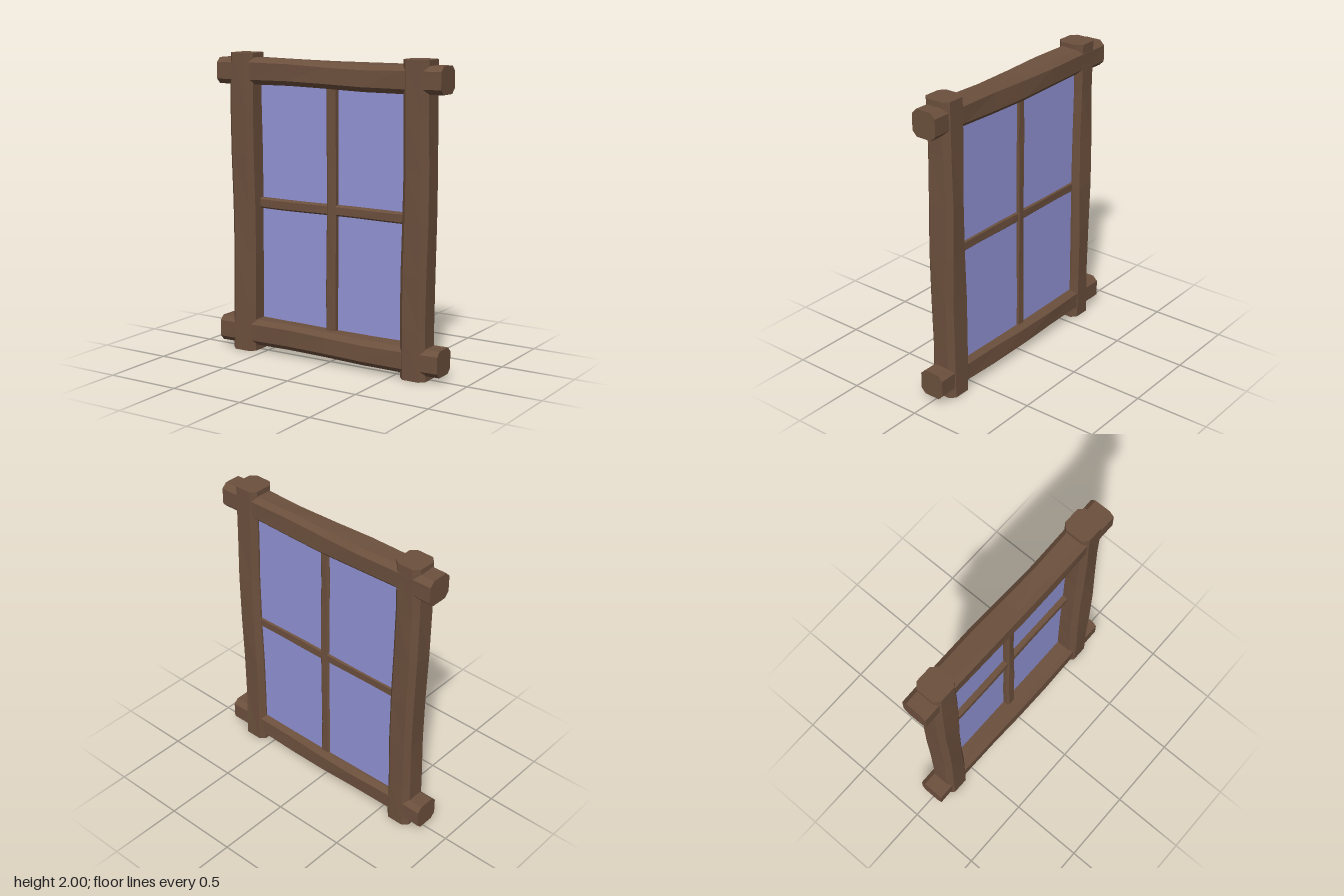
import * as THREE from 'three';

const wood = new THREE.MeshStandardMaterial({ color: 0x6c503d, flatShading: true });
const glass = new THREE.MeshStandardMaterial({ color: 0x9193d5 });

// Hand-hewn timber along z: chamfered square section whose edges wander a little
function timber(name, width, depth, length, chamfer, sway, seed) {
  const w = width / 2, d = depth / 2, c = chamfer;
  const section = new THREE.Shape([
    [w, -d + c], [w, d - c], [w - c, d], [-w + c, d],
    [-w, d - c], [-w, -d + c], [-w + c, -d], [w - c, -d],
  ].map(([x, y]) => new THREE.Vector2(x, y)));
  const geo = new THREE.ExtrudeGeometry(section, { depth: length, steps: 6, bevelEnabled: false });
  geo.translate(0, 0, -length / 2);

  const p = geo.attributes.position;
  for (let i = 0; i < p.count; i++) {
    const x = p.getX(i), y = p.getY(i), z = p.getZ(i);
    const t = z / (length / 2);
    const fade = 1 - t ** 4;
    const bend = Math.sin(t * 3.2 + seed);
    const edge = Math.sin(t * 4 + seed * 2 + Math.sign(x) * 1.3 + Math.sign(y) * 0.7);
    p.setX(i, x + sway * fade * (bend * 0.6 + edge * 0.5));
    p.setY(i, y + sway * fade * (bend * 0.6 - edge * 0.5));
  }
  geo.computeVertexNormals();
  const mesh = new THREE.Mesh(geo, wood);
  mesh.name = name;
  return mesh;
}

// Section x stays x, section y becomes z
function upright(mesh, x, y, z) {
  mesh.geometry.rotateX(-Math.PI / 2);
  mesh.position.set(x, y, z);
  return mesh;
}

// Section x becomes z, section y stays y
function level(mesh, x, y, z) {
  mesh.geometry.rotateY(Math.PI / 2);
  mesh.position.set(x, y, z);
  return mesh;
}

export function createModel() {
  const model = new THREE.Group();
  model.name = 'window';

  // Outer frame: two posts crossed by two overhanging rails
  model.add(
    upright(timber('leftPost', 0.18, 0.185, 2, 0.034, 0.009, 0.6), 0.65, 1, 0),
    upright(timber('rightPost', 0.18, 0.185, 2, 0.034, 0.009, 2.4), -0.65, 1, 0),
    level(timber('topRail', 0.174, 0.172, 1.67, 0.032, 0.009, 3.6), 0, 1.879, -0.002),
    level(timber('bottomRail', 0.174, 0.172, 1.67, 0.032, 0.009, 3.3), 0, 0.126, -0.002),
  );

  // Glazing bars, set toward the back
  model.add(
    upright(timber('verticalBar', 0.07, 0.066, 1.66, 0.012, 0.004, 1.2), 0, 1, -0.027),
    level(timber('horizontalBar', 0.054, 0.07, 1.16, 0.01, 0.003, 0.3), 0, 1.006, -0.03),
  );

  // Glass pane
  const pane = new THREE.Mesh(new THREE.BoxGeometry(1.2, 1.68, 0.01), glass);
  pane.name = 'glassPane';
  pane.position.set(0, 1, -0.043);
  model.add(pane);

  return model;
}
